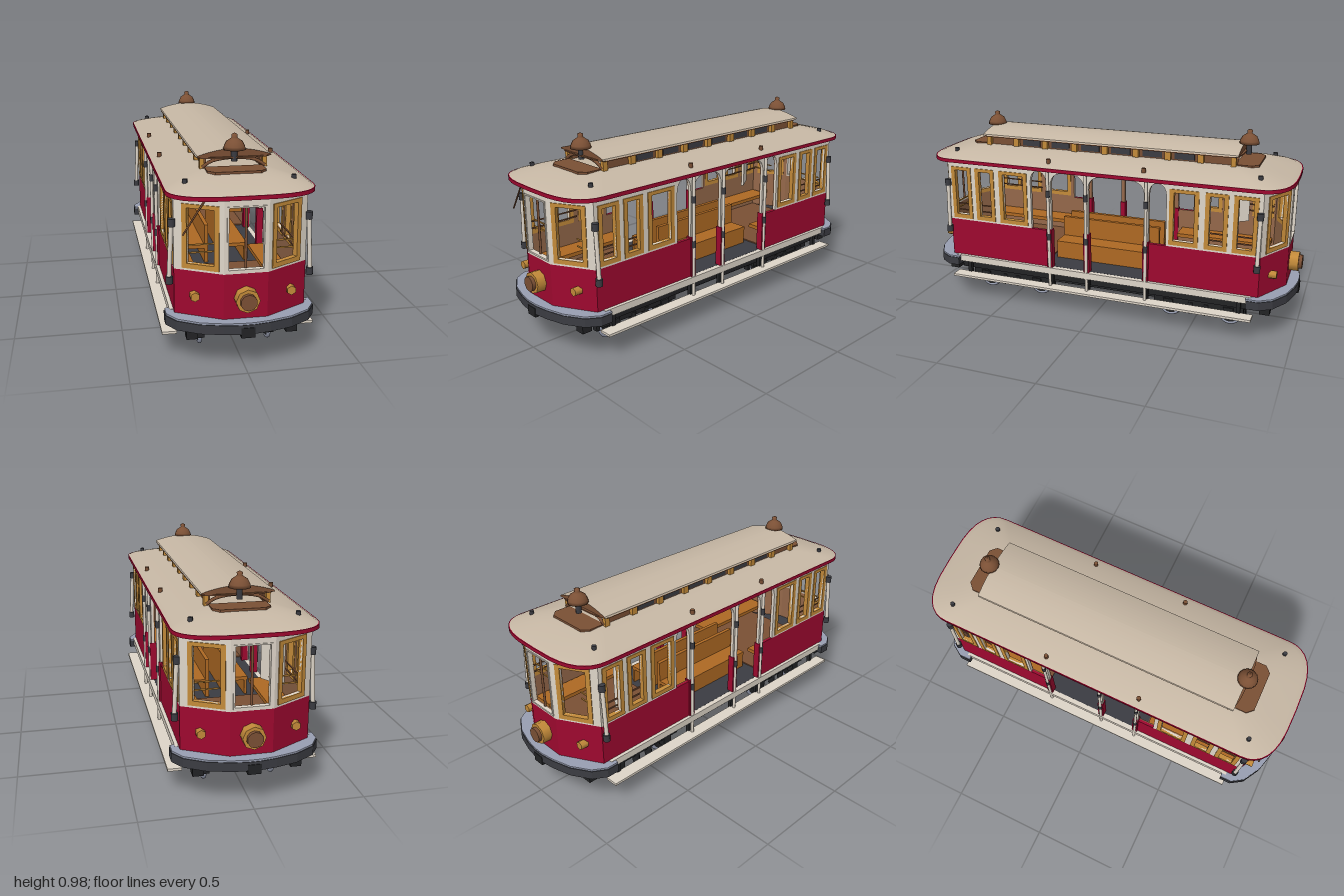
import * as THREE from 'three';

const mat = (name, color, side = THREE.FrontSide) => {
  const m = new THREE.MeshStandardMaterial({ color, side });
  m.name = name;
  return m;
};

export function createModel() {
  const root = new THREE.Group();
  root.name = 'tramCar';
  const red = mat('red paint', 0x9e082f);
  const cream = mat('cream paint', 0xdfd6c9);
  const tan = mat('roof canvas', 0xc6b7a4, THREE.DoubleSide);
  const gold = mat('golden wood', 0xc48b3a);
  const bench = mat('bench wood', 0xae6923);
  const brown = mat('brown wood', 0x7b5035);
  const liner = mat('ceiling wood', 0x94684a);
  const black = mat('black iron', 0x222325);
  const grey = mat('dark grey rubber', 0x3b3c42);
  const steel = mat('pale steel', 0x999fb2);

  const add = (name, geo, m, x = 0, y = 0, z = 0) => {
    const mesh = new THREE.Mesh(geo, m);
    mesh.name = name;
    mesh.position.set(x, y, z);
    root.add(mesh);
    return mesh;
  };
  const box = (name, m, w, h, d, x, y, z) => add(name, new THREE.BoxGeometry(w, h, d), m, x, y, z);
  const cyl = (name, m, r, len, axis, x, y, z, sides = 16) => {
    const g = new THREE.CylinderGeometry(r, r, len, sides);
    if (axis === 'x') g.rotateZ(Math.PI / 2);
    if (axis === 'z') g.rotateX(Math.PI / 2);
    return add(name, g, m, x, y, z);
  };
  // Flat plan polygon [x, z] extruded upward from y0
  const slab = (name, m, pts, y0, h) => {
    const s = new THREE.Shape(pts.map(([x, z]) => new THREE.Vector2(x, -z)));
    const g = new THREE.ExtrudeGeometry(s, { depth: h, bevelEnabled: false });
    return add(name, g.rotateX(-Math.PI / 2), m, 0, y0, 0);
  };
  // Long plan with straight sides and bowed ends
  const plan = (hw, zc, zl, n = 16) => {
    const pts = [];
    for (const e of [1, -1]) for (let i = 0; i <= n; i++) {
      const t = Math.PI * i / n, c = Math.cos(t);
      pts.push([e * hw * Math.sign(c) * Math.abs(c) ** 0.6,
        e * (zc + (zl - zc) * Math.max(0, Math.sin(t)) ** 0.9)]);
    }
    return pts;
  };
  // Roof skin through stacked plans [halfWidth, zStraight, zEnd, y]
  const loft = (name, m, rings) => {
    const pos = [], idx = [];
    let n = 0;
    for (const [hw, zc, zl, y] of rings) {
      const p = plan(hw, zc, zl);
      n = p.length;
      p.forEach(([x, z]) => pos.push(x, y, z));
    }
    for (let r = 0; r < rings.length - 1; r++) for (let i = 0; i < n; i++) {
      const a = r * n + i, b = r * n + (i + 1) % n;
      idx.push(a, a + n, b, b, a + n, b + n);
    }
    const c = pos.length / 3, last = c - n;
    pos.push(0, rings[rings.length - 1][3], 0);
    for (let i = 0; i < n; i++) idx.push(last + i, c, last + (i + 1) % n);
    const g = new THREE.BufferGeometry();
    g.setAttribute('position', new THREE.Float32BufferAttribute(pos, 3));
    g.setIndex(idx);
    g.computeVertexNormals();
    return add(name, g, m);
  };

  // Wall helpers: shapes are drawn in (u, y), u running from corner a to corner b
  const rect = (T, u0, u1, y0, y1) => new T([[u0, y0], [u1, y0], [u1, y1], [u0, y1]]
    .map(p => new THREE.Vector2(...p)));
  const place = (name, m, shape, a, b, depth, offset) => {
    const g = new THREE.ExtrudeGeometry(shape, { depth, bevelEnabled: false, curveSegments: 6 });
    g.translate(0, 0, offset);
    const mesh = add(name, g, m, a[0], 0, a[1]);
    mesh.rotation.y = Math.atan2(-(b[1] - a[1]), b[0] - a[0]);
  };
  const wall = (name, m, shape, a, b) => {
    place(name, m, shape, a, b, 0.014, -0.014);
    place(name + 'Lining', liner, shape, a, b, 0.005, -0.019);
  };
  const windowWall = (name, a, b, u0, u1, wins, frame = gold, f = 0.022) => {
    const s = rect(THREE.Shape, u0, u1, 0.43, 0.757);
    for (const [w0, w1] of wins) {
      const inner = [w0 + f, w1 - f, 0.44 + f, 0.722 - f * 0.8];
      s.holes.push(rect(THREE.Path, ...inner));
      const fr = rect(THREE.Shape, w0, w1, 0.44, 0.722);
      fr.holes.push(rect(THREE.Path, ...inner));
      place(name + 'Frame', frame, fr, a, b, 0.025, -0.021);
    }
    wall(name, cream, s, a, b);
  };

  const HW = 0.29, ZC = 0.83;
  const bays = [[0.35, 0.262], [0.238, 0.056], [0.034, -0.258], [-0.282, -0.37]];
  for (const s of [1, -1]) {
    // Three-sided ends
    const P = [[-HW, ZC], [-0.095, 0.938], [0.095, 0.938], [HW, ZC]].map(([x, z]) => [x * s, z * s]);
    for (let i = 0; i < 3; i++) {
      const L = Math.hypot(P[i + 1][0] - P[i][0], P[i + 1][1] - P[i][1]);
      wall('endPanel', red, rect(THREE.Shape, 0, L, 0.228, 0.43), P[i], P[i + 1]);
      if (i === 1) windowWall('endCentreWindow', P[i], P[i + 1], 0, L, [[0.012, L - 0.012]], cream, 0.008);
      else windowWall('endSideWindow', P[i], P[i + 1], 0, L, [i ? [0.02, 0.185] : [L - 0.185, L - 0.02]]);
    }
    cyl('windowMullion', brown, 0.006, 0.27, 'y', 0, 0.585, 0.925 * s, 8);

    // Long sides: glazed ends with an open middle
    const a = [HW * s, ZC * s], b = [HW * s, -ZC * s];
    const span = (z0, z1) => [ZC - s * z0, ZC - s * z1].sort((p, q) => p - q);
    for (const [lo, hi, wins] of [
      [0.83, 0.36, [[0.81, 0.695], [0.67, 0.56], [0.53, 0.37]]],
      [-0.38, -0.83, [[-0.385, -0.53], [-0.56, -0.67], [-0.695, -0.81]]]]) {
      windowWall('sideWindows', a, b, ...span(lo, hi), wins.map(w => span(...w)));
    }
    for (const [lo, hi] of [[0.83, 0.238], [-0.258, -0.83]])
      wall('sidePanel', red, rect(THREE.Shape, ...span(lo, hi), 0.228, 0.43), a, b);
    const arch = new THREE.Shape(), [m0, m1] = span(0.36, -0.38), top = 0.74, r = 0.07;
    arch.moveTo(m0, 0.43);
    for (const [u0, u1] of bays.map(w => span(...w)).sort((p, q) => p[0] - q[0])) {
      const k = Math.min(r, (u1 - u0) * 0.48);
      arch.lineTo(u0, 0.43).lineTo(u0, top - r).quadraticCurveTo(u0, top, u0 + k, top);
      arch.lineTo(u1 - k, top).quadraticCurveTo(u1, top, u1, top - r).lineTo(u1, 0.43);
    }
    arch.lineTo(m1, 0.43).lineTo(m1, 0.757).lineTo(m0, 0.757);
    wall('sideArches', cream, arch, a, b);
    // Red door posts either side of the openings
    for (const z of [0.25, 0.045, -0.27]) box('doorPost', red, 0.035, 0.21, 0.03, 0.281 * s, 0.332, z);

    // Grab poles, sill and running board
    for (const z of [0.25, 0.045, -0.27]) {
      cyl('grabPole', cream, 0.008, 0.63, 'y', 0.299 * s, 0.435, z, 10);
      for (const y of [0.4, 0.63]) cyl('poleSocket', grey, 0.011, 0.035, 'y', 0.299 * s, y, z, 10);
    }
    for (const z of [0.83, -0.82]) {
      const rail = cyl('cornerRail', cream, 0.01, 0.26, 'y', 0.305 * s, 0.51, z, 10);
      rail.rotation.z = 0.05 * s;
      for (const [x, y] of [[0.298, 0.635], [0.31, 0.38]])
        cyl('cornerRailSocket', grey, 0.016, 0.034, 'y', x * s, y, z, 10);
    }
    box('sill', cream, 0.03, 0.035, 1.6, 0.292 * s, 0.212, 0);
    box('runningBoard', cream, 0.065, 0.012, 1.62, 0.31 * s, 0.122, 0);
    for (const z of [-0.74, -0.27, 0.045, 0.25, 0.74])
      box('boardBracket', black, 0.02, 0.08, 0.02, 0.275 * s, 0.155, z);

    // Bumper at each end
    const bump = [[0.33, 0.78], [0.33, 0.84], [0.29, 0.902], [0.2, 0.955], [0.1, 0.982], [0.03, 0.992]];
    const full = [...bump, ...bump.map(([x, z]) => [-x, z]).reverse()].map(([x, z]) => [x * s, z * s]);
    slab('bumper', grey, full, 0.178, 0.042);
    slab('bumperTop', steel, full.map(([x, z]) => [x * 0.99, z * 0.997]), 0.22, 0.008);
    box('coupler', black, 0.06, 0.045, 0.07, 0, 0.185, 0.96 * s);
    for (const x of [-0.22, 0.22]) box('stepBlock', black, 0.05, 0.06, 0.05, x, 0.15, 0.86 * s);

    // Headlight and marker lamps
    cyl('headlight', gold, 0.052, 0.05, 'z', 0, 0.322, 0.958 * s, 8);
    cyl('headlightLens', brown, 0.036, 0.03, 'z', 0, 0.322, 0.985 * s, 10);
    for (const x of [-0.21, 0.21]) cyl('markerLamp', gold, 0.021, 0.045, 'z', x, 0.322, 0.88 * s, 6);

    // Guard rails inside the end windows
    for (const x of [-0.18, 0.18]) for (const y of [0.485, 0.52]) {
      box('endRail', gold, 0.14, 0.006, 0.006, x, y, 0.8 * s);
      box('sideRail', brown, 0.006, 0.006, 0.26, x * 1.42, y - 0.01, 0.68 * s);
    }

    // Bell, end apron and arched beam of the raised roof
    const zb = s > 0 ? 0.68 : -0.7;
    const bell = [[0, 0.9], [0.05, 0.903], [0.046, 0.918], [0.036, 0.938], [0.018, 0.95], [0.012, 0.956], [0.014, 0.968], [0, 0.975]]
      .map(p => new THREE.Vector2(...p));
    add('bell', new THREE.LatheGeometry(bell, 16), brown, 0, 0, zb);
    cyl('bellStand', grey, 0.014, 0.06, 'y', 0, 0.88, zb, 8);
    const apron = [[0.13, 0.66], [0.13, 0.74], [0.1, 0.77], [-0.1, 0.77], [-0.13, 0.74], [-0.13, 0.66]];
    slab('raisedRoofApron', brown, apron.map(([x, z]) => [x * s, z * s]), 0.8, 0.025);
    const beam = new THREE.CatmullRomCurve3([[-0.14, 0.825], [-0.1, 0.85], [0, 0.864], [0.1, 0.85], [0.14, 0.825]]
      .map(([x, y]) => new THREE.Vector3(x, y, 0)));
    add('raisedRoofBeam', new THREE.TubeGeometry(beam, 16, 0.008, 6), brown, 0, 0, 0.665 * s);
    for (const x of [-0.14, 0.14]) box('raisedRoofBracket', gold, 0.02, 0.055, 0.025, x, 0.842, 0.655 * s);

    // Roof fittings
    for (const z of [0.8, -0.8]) cyl('roofKnob', grey, 0.011, 0.022, 'y', 0.235 * s, 0.8, z, 8);
    for (const z of [0.25, -0.25]) cyl('roofHook', brown, 0.011, 0.022, 'y', 0.278 * s, 0.796, z, 8);

    // Raised roof side lights
    box('raisedRoofWall', brown, 0.012, 0.06, 1.3, 0.125 * s, 0.838, 0);
    for (let i = -3; i <= 3; i++) {
      box('raisedRoofPost', gold, 0.03, 0.04, 0.03, 0.135 * s, 0.842, i * 0.165);
      if (i < 3) box('raisedRoofLight', grey, 0.008, 0.03, 0.1, 0.131 * s, 0.842, (i + 0.5) * 0.165);
    }

    // Outward-facing seat and cabin floors
    box('seatBack', bench, 0.02, 0.2, 0.54, 0.05 * s, 0.33, 0);
    box('seat', bench, 0.11, 0.018, 0.54, 0.105 * s, 0.315, 0);
    box('seatFront', bench, 0.012, 0.08, 0.54, 0.15 * s, 0.27, 0);
    for (const z of [0.56, -0.56]) box('sideSeat', bench, 0.11, 0.02, 0.5, 0.21 * s, 0.32, z);
    box('cabinFloor', brown, 0.54, 0.006, 0.52, 0, 0.233, 0.56 * s);
  }
  cyl('wiper', brown, 0.004, 0.17, 'y', -0.215, 0.67, 0.9, 6).rotation.z = -0.57;
  box('foldedDoor', cream, 0.014, 0.29, 0.13, -0.18, 0.575, -0.63).rotation.y = 0.6;

  // Floor and roof
  const body = [[HW, ZC], [0.095, 0.938], [-0.095, 0.938], [-HW, ZC]];
  slab('floor', grey, [...body, ...body.map(([x, z]) => [-x, -z])].map(([x, z]) => [x * 0.97, z * 0.98]), 0.185, 0.045);
  slab('ceiling', liner, plan(0.312, 0.8, 0.945), 0.748, 0.006);
  slab('eaveBand', red, plan(0.322, 0.8, 0.957), 0.751, 0.018);
  loft('roof', tan, [[0.318, 0.8, 0.952, 0.769], [0.3, 0.78, 0.925, 0.78], [0.23, 0.73, 0.83, 0.802],
    [0.17, 0.68, 0.77, 0.815], [0.12, 0.62, 0.7, 0.823]]);
  slab('raisedRoofEdge', brown, plan(0.165, 0.65, 0.692), 0.865, 0.006);
  // Arched canvas top with brown gable ends
  const gable = new THREE.Shape();
  gable.moveTo(-0.166, 0.87);
  gable.lineTo(0.166, 0.87);
  gable.lineTo(0.163, 0.877);
  gable.quadraticCurveTo(0.08, 0.905, 0, 0.907);
  gable.quadraticCurveTo(-0.08, 0.905, -0.163, 0.877);
  add('raisedRoof', new THREE.ExtrudeGeometry(gable, { depth: 1.36, bevelEnabled: false }), [brown, tan], 0, 0, -0.68);

  // Underframe
  box('underframe', black, 0.42, 0.05, 1.66, 0, 0.165, 0);
  for (const x of [-0.24, 0.24]) box('sideGirder', black, 0.025, 0.05, 1.6, x, 0.165, 0);
  for (const x of [-0.19, -0.07, 0.07, 0.19]) cyl('trussRod', black, 0.008, 0.75, 'z', x, 0.108, 0, 8);
  box('gripGear', black, 0.12, 0.05, 0.4, 0, 0.125, 0);

  // Two four-wheel trucks
  for (const zt of [0.525, -0.525]) {
    box('truckBolster', black, 0.4, 0.05, 0.08, 0, 0.115, zt);
    for (const x of [-0.2, 0.2]) {
      box('truckSide', black, 0.025, 0.03, 0.46, x, 0.108, zt);
      for (const dz of [-0.04, 0.04]) cyl('truckSpring', black, 0.018, 0.06, 'y', x, 0.08, zt + dz, 10);
    }
    for (const dz of [0.155, -0.155]) {
      cyl('axle', black, 0.014, 0.4, 'x', 0, 0.062, zt + dz, 10);
      cyl('motor', black, 0.045, 0.2, 'x', 0, 0.095, zt + dz * 0.7, 12);
      for (const x of [-0.16, 0.16]) {
        cyl('wheel', black, 0.05, 0.016, 'x', x, 0.06, zt + dz, 24);
        add('wheelTyre', new THREE.TorusGeometry(0.05, 0.01, 8, 24).rotateY(Math.PI / 2), steel, x, 0.06, zt + dz);
        box('axleBox', black, 0.035, 0.06, 0.05, x * 1.27, 0.085, zt + dz);
        box('brakeShoe', black, 0.03, 0.05, 0.02, x, 0.085, zt + dz * 1.45);
      }
    }
  }
  return root;
}
